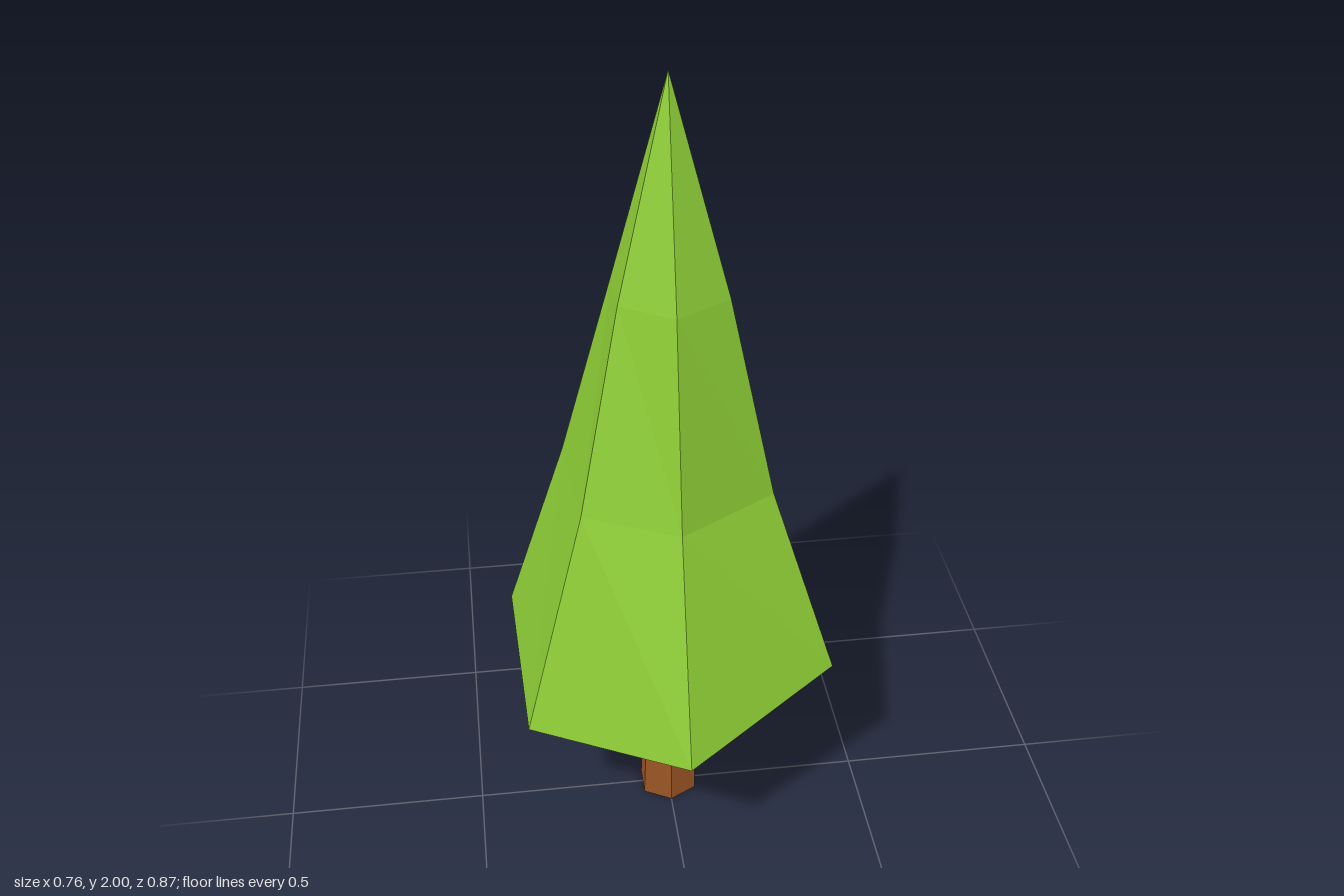
import * as THREE from 'three';

// Lofts flat-shaded faces through rings of [x, y, z] corners (ordered clockwise from above).
// A ring with a single point closes the shape in a tip.
function loft(name, rings, material) {
  const pos = [];
  const tri = (a, b, c) => pos.push(...a, ...b, ...c);
  for (let r = 0; r < rings.length - 1; r++) {
    const lo = rings[r], hi = rings[r + 1];
    const n = Math.max(lo.length, hi.length);
    const at = (ring, i) => ring[i % ring.length];
    for (let i = 0; i < n; i++) {
      if (lo.length > 1) tri(at(lo, i + 1), at(lo, i), at(hi, i + 1));
      if (hi.length > 1) tri(at(lo, i), at(hi, i), at(hi, i + 1));
    }
  }
  const geometry = new THREE.BufferGeometry();
  geometry.setAttribute('position', new THREE.Float32BufferAttribute(pos, 3));
  geometry.computeVertexNormals();
  const mesh = new THREE.Mesh(geometry, material);
  mesh.name = name;
  return mesh;
}

// Level ring from [x, z] pairs
const level = (y, points) => points.map(([x, z]) => [x, y, z]);

export function createModel() {
  const tree = new THREE.Group();
  tree.name = 'tree';

  const leafMaterial = new THREE.MeshStandardMaterial({
    color: 0x8ccb35, flatShading: true, side: THREE.DoubleSide,
  });
  const barkMaterial = new THREE.MeshStandardMaterial({ color: 0x9a5524, flatShading: true });

  // Foliage: open six-sided shell with an uneven hem.
  // Corner order: right back, back, left back, left front, front, right front
  const hem = [
    [-0.385, 0.5, -0.215], [0, 0.46, -0.435], [0.378, 0.5, -0.247],
    [0.378, 0.545, 0.215], [0, 0.45, 0.432], [-0.37, 0.425, 0.215],
  ];
  const middle = level(1, [
    [-0.24, -0.145], [0, -0.205], [0.235, -0.145], [0.235, 0.11], [0, 0.25], [-0.22, 0.145],
  ]);
  const upper = level(1.5, [
    [-0.12, -0.07], [0, -0.145], [0.115, -0.055], [0.13, 0.07], [0, 0.145], [-0.12, 0.07],
  ]);
  tree.add(loft('foliage', [hem, middle, upper, [[0, 2, 0]]], leafMaterial));

  // Trunk: crooked six-sided post, closed at both ends
  const foot = level(0, [
    [-0.068, -0.037], [0, -0.073], [0.068, -0.037], [0.068, 0.04], [0, 0.077], [-0.068, 0.04],
  ]);
  const waist = level(0.3, [
    [-0.058, -0.035], [0, -0.046], [0.067, -0.037], [0.067, 0.038], [0, 0.063], [-0.058, 0.038],
  ]);
  const crown = level(0.6, [
    [-0.06, -0.035], [0, -0.072], [0.067, -0.035], [0.067, 0.035], [0, 0.077], [-0.06, 0.035],
  ]);
  tree.add(loft('trunk', [[[0, 0, 0]], foot, waist, crown, [[0, 0.6, 0]]], barkMaterial));

  return tree;
}
